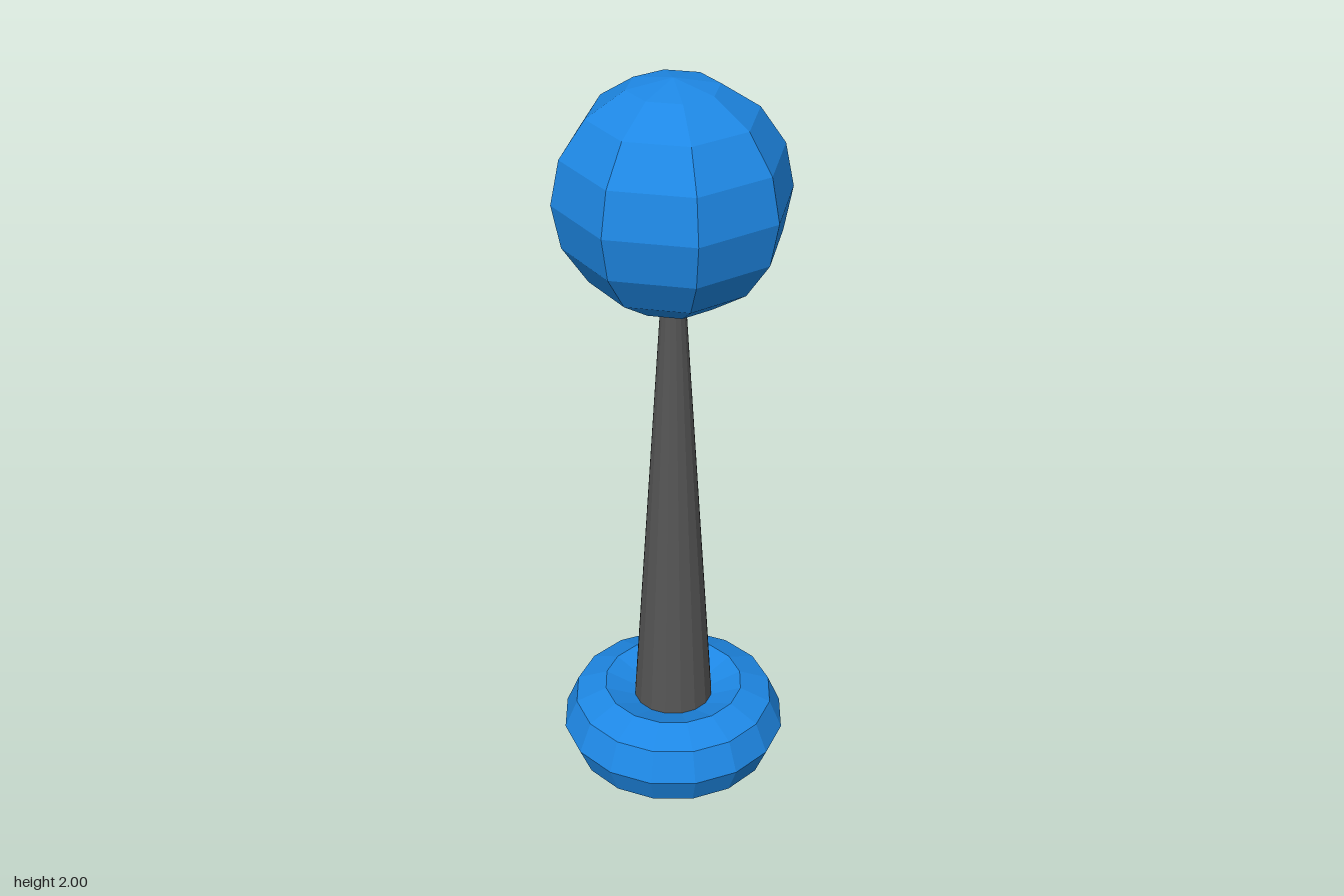
import * as THREE from 'three';

const blue = new THREE.MeshStandardMaterial({ color: 0x1e88e5, flatShading: true });
const grey = new THREE.MeshStandardMaterial({ color: 0x555555, flatShading: true });

function addPart(group, name, geometry, material, y) {
  const mesh = new THREE.Mesh(geometry, material);
  mesh.name = name;
  mesh.position.y = y;
  group.add(mesh);
}

export function createModel() {
  const group = new THREE.Group();
  group.name = 'ballTopPost';

  // Faceted ring lying flat on the ground
  const ring = new THREE.TorusGeometry(0.19, 0.117, 8, 16).rotateX(Math.PI / 2);
  addPart(group, 'baseRing', ring, blue, 0.117);

  // Tapered post, from inside the ring up into the ball
  const bottom = 0.12, top = 1.5;
  const post = new THREE.CylinderGeometry(0.027, 0.113, top - bottom, 16);
  addPart(group, 'post', post, grey, (bottom + top) / 2);

  // Low-poly ball on top
  addPart(group, 'ball', new THREE.SphereGeometry(0.298, 8, 8), blue, 1.702);

  return group;
}
